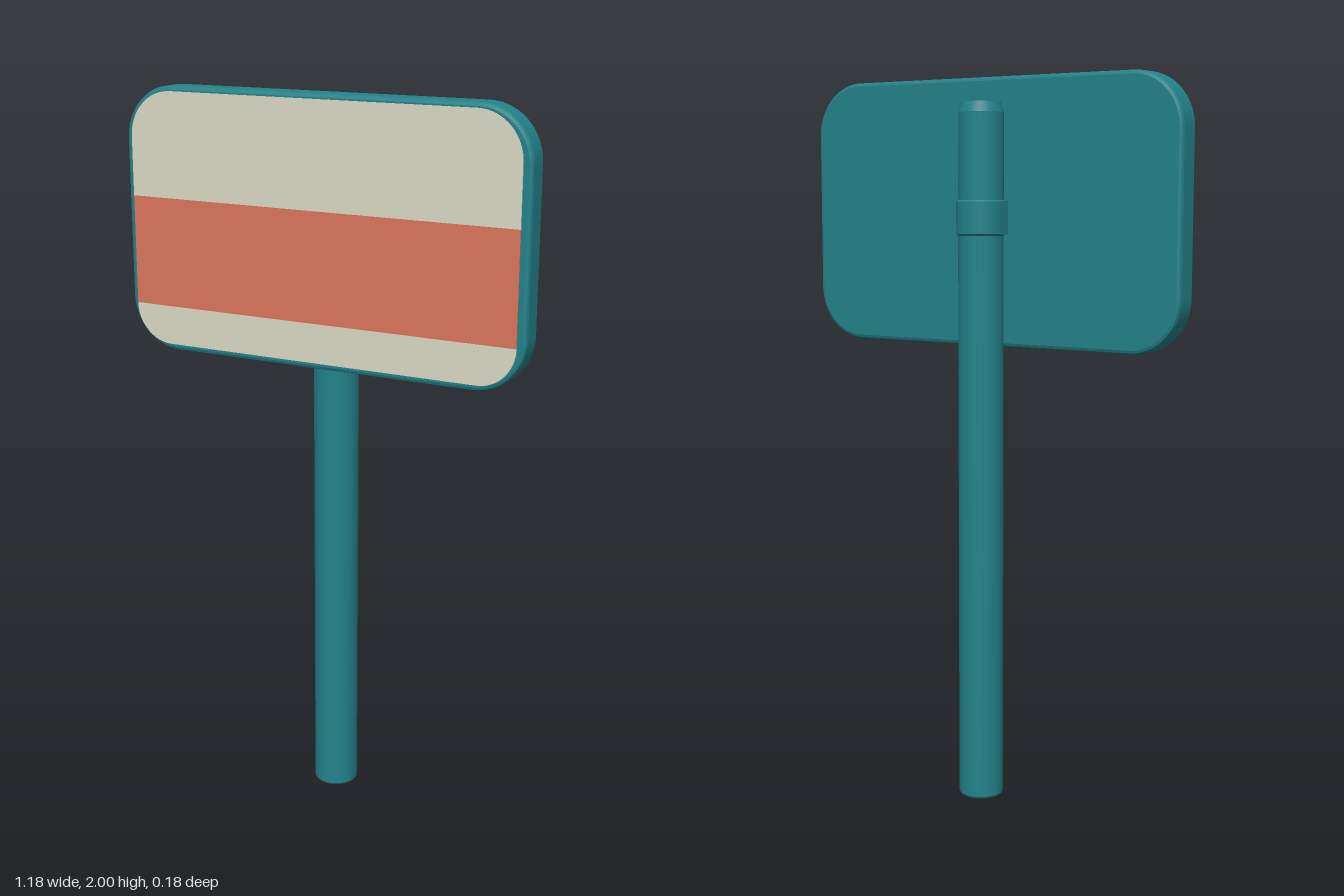
import * as THREE from 'three';

const teal = new THREE.MeshStandardMaterial({ color: 0x23828a });
teal.name = 'teal paint';
const cream = new THREE.MeshStandardMaterial({ color: 0xdad9c4 });
cream.name = 'cream panel';
const red = new THREE.MeshStandardMaterial({ color: 0xdb765c });
red.name = 'red stripe';

// Rectangle with separate radii for its top and bottom corners
function roundedRect(x0, x1, y0, y1, top, bottom) {
  const s = new THREE.Shape();
  s.moveTo(x0 + bottom, y0);
  s.lineTo(x1 - bottom, y0);
  if (bottom) s.absarc(x1 - bottom, y0 + bottom, bottom, -Math.PI / 2, 0);
  s.lineTo(x1, y1 - top);
  if (top) s.absarc(x1 - top, y1 - top, top, 0, Math.PI / 2);
  s.lineTo(x0 + top, y1);
  if (top) s.absarc(x0 + top, y1 - top, top, Math.PI / 2, Math.PI);
  s.lineTo(x0, y0 + bottom);
  if (bottom) s.absarc(x0 + bottom, y0 + bottom, bottom, Math.PI, Math.PI * 1.5);
  return s;
}

export function createModel() {
  const model = new THREE.Group();
  model.name = 'signpost';
  const add = (name, geometry, material, x = 0, y = 0, z = 0) => {
    const mesh = new THREE.Mesh(geometry, material);
    mesh.name = name;
    mesh.position.set(x, y, z);
    model.add(mesh);
    return mesh;
  };
  // Turned part with crisp edges: each profile corner is doubled
  const turned = (points) => {
    const profile = points.flatMap(([r, y]) => [new THREE.Vector2(r, y), new THREE.Vector2(r, y)]);
    return new THREE.LatheGeometry(profile, 32);
  };
  const postZ = -0.021;

  // Round post with softened ends
  add('post', turned([[0, 0], [0.058, 0], [0.062, 0.006], [0.062, 1.905], [0.054, 1.932], [0, 1.932]]),
    teal, 0, 0, postZ);

  // Clamp around the post, with a flat saddle against the board
  add('clamp', turned([[0.06, 1.575], [0.067, 1.582], [0.067, 1.668], [0.06, 1.675]]), teal, 0, 0, postZ);
  add('clampSaddle', new THREE.BoxGeometry(0.134, 0.09, 0.04), teal, 0, 1.625, -0.002);

  // Board with rounded corners and a small bevel
  const bevel = 0.01;
  const board = new THREE.ExtrudeGeometry(
    roundedRect(-0.59 + bevel, 0.59 - bevel, 1.275 + bevel, 2 - bevel, 0.135, 0.135),
    { depth: 0.055, bevelEnabled: true, bevelThickness: bevel, bevelSize: bevel, bevelSegments: 2, curveSegments: 10 });
  add('board', board, teal, 0, 0, 0.01 + bevel);

  // Thin painted face: cream above and below a red stripe
  const plate = (name, shape, material) => add(name,
    new THREE.ExtrudeGeometry(shape, { depth: 0.004, bevelEnabled: false, curveSegments: 10 }), material, 0, 0, 0.084);
  plate('upperPanel', roundedRect(-0.573, 0.565, 1.7, 1.986, 0.125, 0), cream);
  plate('stripe', roundedRect(-0.573, 0.565, 1.4, 1.7, 0, 0), red);
  plate('lowerPanel', roundedRect(-0.573, 0.565, 1.292, 1.4, 0, 0.107), cream);

  return model;
}
